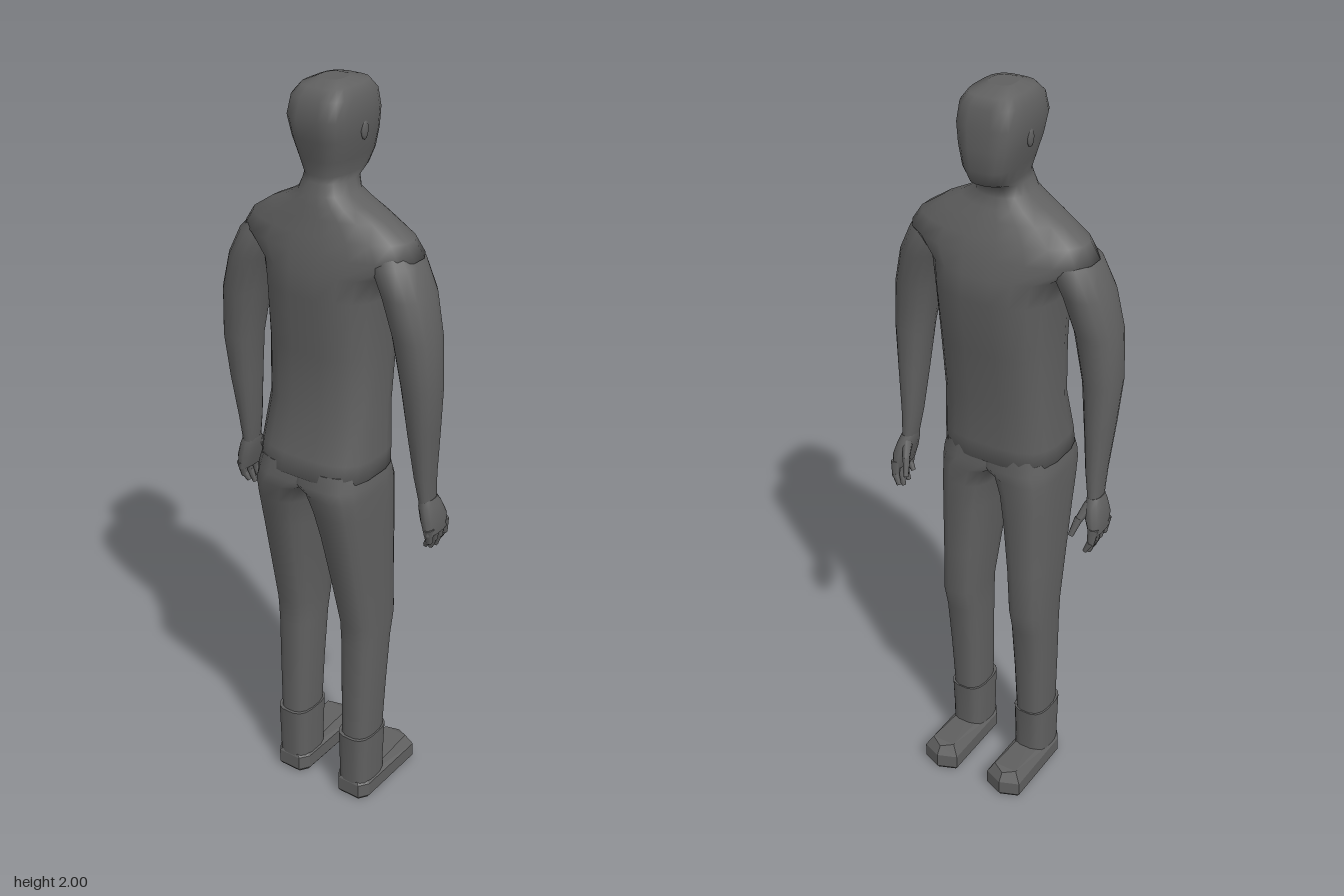
import * as THREE from 'three';

const material = new THREE.MeshStandardMaterial({ color: 0x606060 });

function part(name, geometry, parent) {
  const mesh = new THREE.Mesh(geometry, material);
  mesh.name = name;
  parent.add(mesh);
  return mesh;
}

// Smooth skin through horizontal sections, lowest first: [y, back x, front x, z min, z max, squareness]
function loft(sections, sides = 16) {
  const pos = [], index = [];
  const ring = ([y, x0, x1, z0, z1, e]) => {
    const fit = 1 / Math.cos(Math.PI / sides) ** (2 / e);
    const bend = (t) => fit * Math.sign(t) * Math.abs(t) ** (2 / e);
    for (let i = 0; i < sides; i++) {
      const a = ((i + 0.5) / sides) * Math.PI * 2;
      pos.push(
        (x0 + x1) / 2 + (bend(Math.cos(a)) * (x1 - x0)) / 2, y,
        (z0 + z1) / 2 + (bend(Math.sin(a)) * (z1 - z0)) / 2);
    }
  };
  sections.forEach(ring);
  for (let r = 0; r < sections.length - 1; r++) {
    for (let i = 0; i < sides; i++) {
      const a = r * sides + i, b = r * sides + ((i + 1) % sides);
      index.push(a, a + sides, b, b, a + sides, b + sides);
    }
  }
  // Flat end caps with their own vertices
  for (const [section, up] of [[sections[0], false], [sections[sections.length - 1], true]]) {
    const start = pos.length / 3;
    ring(section);
    const centre = pos.length / 3;
    pos.push((section[1] + section[2]) / 2, section[0], (section[3] + section[4]) / 2);
    for (let i = 0; i < sides; i++) {
      const a = start + i, b = start + ((i + 1) % sides);
      if (up) index.push(centre, b, a);
      else index.push(centre, a, b);
    }
  }
  const g = new THREE.BufferGeometry();
  g.setAttribute('position', new THREE.Float32BufferAttribute(pos, 3));
  g.setIndex(index);
  g.computeVertexNormals();
  return g;
}

// Same skin for a limb on either side (side = 1 is +z, -1 is -z)
function limb(sections, side, sides) {
  return loft(sections.map(([y, x0, x1, z0, z1, e]) =>
    side > 0 ? [y, x0, x1, z0, z1, e] : [y, x0, x1, -z1, -z0, e]), sides);
}

// Tapered finger from a to b
function finger(name, a, b, r, parent) {
  const from = new THREE.Vector3(...a), to = new THREE.Vector3(...b);
  const dir = to.clone().sub(from);
  const mesh = part(name, new THREE.CylinderGeometry(r * 0.65, r, dir.length(), 6), parent);
  mesh.position.copy(from).add(to).multiplyScalar(0.5);
  mesh.quaternion.setFromUnitVectors(new THREE.Vector3(0, 1, 0), dir.normalize());
}

function shoe() {
  const plan = new THREE.Shape([
    [-0.083, -0.03], [-0.06, -0.045], [0.15, -0.045], [0.168, 0],
    [0.15, 0.045], [-0.06, 0.045], [-0.083, 0.03],
  ].map(([x, y]) => new THREE.Vector2(x, y)));
  const g = new THREE.ExtrudeGeometry(plan, {
    depth: 0.04, bevelEnabled: true, bevelThickness: 0.01, bevelSize: 0.007, bevelSegments: 1,
  });
  g.rotateX(-Math.PI / 2).translate(0, 0.01, 0);
  // Narrow the upper, raise the toe box and drop its tip
  const p = g.attributes.position;
  for (let i = 0; i < p.count; i++) {
    if (p.getY(i) < 0.055) continue;
    const x = p.getX(i);
    p.setXYZ(i, x > 0.1 ? x - 0.008 : x, x > 0.16 ? 0.073 : x > 0.1 ? 0.08 : 0.063, p.getZ(i) * 0.75);
  }
  g.computeVertexNormals();
  return g;
}

// Hips, chest, neck and head in one skin
const BODY = [
  [0.99, -0.14, 0.04, -0.11, 0.11, 3],
  [1.03, -0.176, 0.076, -0.158, 0.158, 3],
  [1.08, -0.165, 0.076, -0.158, 0.158, 3],
  [1.2, -0.132, 0.078, -0.151, 0.151, 2.9],
  [1.35, -0.133, 0.098, -0.153, 0.153, 2.8],
  [1.5, -0.146, 0.12, -0.16, 0.16, 2.6],
  [1.56, -0.142, 0.112, -0.175, 0.175, 2.4],
  [1.61, -0.134, 0.1, -0.248, 0.248, 2.1],
  [1.65, -0.124, 0.086, -0.222, 0.222, 2.1],
  [1.69, -0.114, 0.067, -0.162, 0.162, 2.1],
  [1.715, -0.11, 0.055, -0.11, 0.11, 2.2],
  [1.74, -0.103, 0.043, -0.07, 0.07, 2.3],
  [1.768, -0.094, 0.046, -0.058, 0.058, 2.5],
  [1.783, -0.091, 0.086, -0.054, 0.054, 2.8],
  [1.82, -0.098, 0.1, -0.064, 0.064, 3.2],
  [1.87, -0.111, 0.1, -0.076, 0.076, 3.4],
  [1.92, -0.12, 0.096, -0.083, 0.083, 3.6],
  [1.965, -0.108, 0.088, -0.077, 0.077, 3.6],
  [1.988, -0.088, 0.072, -0.062, 0.062, 3.2],
  [2.0, -0.05, 0.02, -0.032, 0.032, 2.6],
];
const ARM = [
  [0.97, -0.03, 0.028, 0.263, 0.295, 2.3],
  [1.05, -0.045, 0.027, 0.251, 0.298, 2.3],
  [1.18, -0.068, 0.026, 0.238, 0.309, 2.3],
  [1.3, -0.084, 0.024, 0.225, 0.318, 2.3],
  [1.43, -0.096, 0.033, 0.2, 0.311, 2.2],
  [1.53, -0.104, 0.05, 0.168, 0.286, 2.1],
  [1.6, -0.1, 0.053, 0.13, 0.254, 2],
  [1.645, -0.07, 0.03, 0.12, 0.212, 2],
];
// Thighs overlap at the top to close the crotch
const LEG = [
  [0.17, -0.086, 0.034, 0.058, 0.147, 2.6],
  [0.35, -0.086, 0.046, 0.054, 0.152, 2.6],
  [0.5, -0.085, 0.06, 0.05, 0.156, 2.6],
  [0.57, -0.09, 0.076, 0.048, 0.158, 2.6],
  [0.7, -0.118, 0.075, 0.038, 0.159, 2.6],
  [0.85, -0.15, 0.077, 0.024, 0.16, 2.7],
  [0.93, -0.168, 0.077, 0.012, 0.161, 2.8],
  [0.98, -0.177, 0.076, -0.004, 0.16, 3],
  [1.01, -0.178, 0.076, -0.06, 0.159, 3],
  [1.05, -0.168, 0.07, -0.06, 0.15, 3],
];
const BOOT = [
  [0.02, -0.088, 0.035, 0.055, 0.15, 3],
  [0.1, -0.091, 0.035, 0.055, 0.15, 3],
  [0.205, -0.094, 0.04, 0.053, 0.152, 3],
];
const PALM = [
  [0.89, -0.034, 0.053, 0.282, 0.311, 2.6],
  [0.93, -0.038, 0.053, 0.27, 0.312, 2.6],
  [0.965, -0.035, 0.04, 0.262, 0.304, 2.4],
  [0.985, -0.03, 0.028, 0.261, 0.297, 2.3],
];

export function createModel() {
  const model = new THREE.Group();
  model.name = 'standingFigure';
  part('headAndTorso', loft(BODY, 20), model);

  for (const s of [1, -1]) {
    // Ears
    const ear = part('ear', new THREE.SphereGeometry(1, 8, 6), model);
    ear.scale.set(0.014, 0.024, 0.006);
    ear.position.set(-0.002, 1.885, s * 0.078);

    part('arm', limb(ARM, s), model);
    part('leg', limb(LEG, s), model);
    part('bootShaft', limb(BOOT, s), model);
    part('shoe', shoe(), model).position.z = s * 0.1025;

    // Hand with four curled fingers and a thumb
    const hand = new THREE.Group();
    hand.name = 'hand';
    model.add(hand);
    part('palm', limb(PALM, s, 12), hand);
    [[-0.025, 0.852], [-0.001, 0.836], [0.022, 0.832], [0.044, 0.845]].forEach(([x, tip]) => {
      finger('finger', [x, 0.91, s * 0.298], [x + 0.008, 0.865, s * 0.296], 0.014, hand);
      finger('fingertip', [x + 0.008, 0.873, s * 0.296], [x + 0.012, tip, s * 0.283], 0.01, hand);
    });
    finger('thumb', [0.022, 0.965, s * 0.275], [0.052, 0.93, s * 0.26], 0.015, hand);
    finger('thumbTip', [0.05, 0.934, s * 0.26], [0.071, 0.89, s * 0.249], 0.011, hand);
  }
  return model;
}
